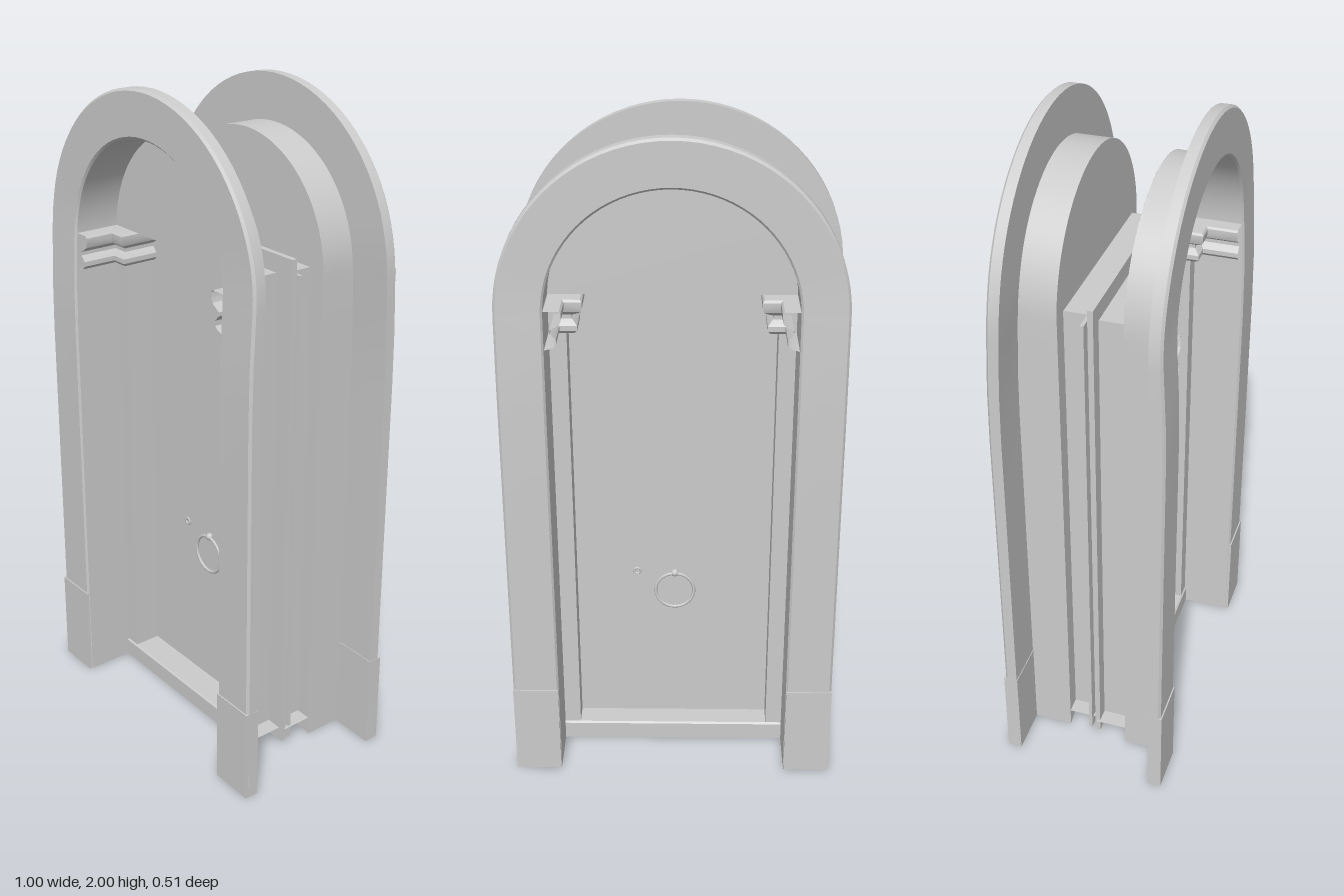
import * as THREE from 'three';
import { toCreasedNormals } from 'three/addons/utils/BufferGeometryUtils.js';

const stone = new THREE.MeshStandardMaterial({ color: 0xcccccc, side: THREE.DoubleSide });
const SPRING = 1.515, OUTER = 0.485, INNER = 0.35, STEP = 0.3, STEP_Z = 0.095;

function add(parent, name, geometry, x = 0, y = 0, z = 0) {
  const mesh = new THREE.Mesh(geometry, stone);
  mesh.name = name;
  mesh.position.set(x, y, z);
  parent.add(mesh);
  return mesh;
}

// Surface through rows of [x, y, z] points, creased at sharp edges
function sheet(rows) {
  const n = rows[0].length, index = [];
  for (let i = 0; i < rows.length - 1; i++) {
    for (let j = 0; j < n - 1; j++) {
      const a = i * n + j, b = a + n;
      index.push(a, b, a + 1, b, b + 1, a + 1);
    }
  }
  const g = new THREE.BufferGeometry();
  g.setAttribute('position', new THREE.Float32BufferAttribute(rows.flat(2), 3));
  g.setIndex(index);
  return toCreasedNormals(g, 0.6);
}

// Stations along the arch: up one leg, round the top, down the other leg
function archStations() {
  const legs = [0, 0.3, 0.6, 0.9, 1.2, 1.36].map((y) => ({ c: 1, s: 0, y }));
  const arc = [];
  for (let i = 0; i <= 40; i++) {
    const a = (Math.PI * i) / 40;
    arc.push({ c: Math.cos(a), s: Math.sin(a), y: SPRING });
  }
  const down = legs.map((p) => ({ ...p, c: -1 })).reverse();
  return [...legs, ...arc, ...down];
}

// The plate leans back slightly above the springing line
const frontZ = (y) => 0.252 - 0.014 * THREE.MathUtils.smoothstep(y, 1.25, 1.65);

function archFrame() {
  return sheet(archStations().map(({ c, s, y }) => {
    const flare = 0.006 * (1 - Math.min(1, y / SPRING));
    const at = (r, dz) => {
      const py = y + r * s;
      return [r * c, py, frontZ(py) + dz];
    };
    const o = OUTER + flare;
    const innerEdge = at(INNER, 0);
    return [
      at(INNER, -0.037), at(o, -0.037), at(o, -0.007), at(o - 0.007, 0),
      at(INNER + 0.006, 0), at(INNER, -0.006), [innerEdge[0], innerEdge[1], STEP_Z],
    ];
  }));
}

// Plan of the stepped jamb, pushed out by d into the opening
const jambPlan = (side, y, d = 0) => [
  [side * (INNER - d), y, 0.235],
  [side * (INNER - d), y, STEP_Z + d],
  [side * (STEP - d), y, STEP_Z + d],
  [side * (STEP - d), y, 0],
];

function createHalf() {
  const half = new THREE.Group();
  add(half, 'archFrame', archFrame());

  for (const side of [1, -1]) {
    const label = side > 0 ? 'left' : 'right';
    // Stepped jamb behind the reveal
    add(half, label + 'Jamb', sheet([0, 1.53].map((y) => jambPlan(side, y).slice(1).map(
      ([x, py, z], i) => [x, i > 0 && py === 0 ? 0.02 : py, z]))));

    // Moulded capital following the jamb plan
    const profile = [
      [1.415, 0], [1.422, 0.025], [1.432, 0.034], [1.446, 0.034], [1.457, 0.025],
      [1.463, 0.018], [1.474, 0.018], [1.482, 0.032], [1.492, 0.046],
      [1.505, 0.05], [1.522, 0.05], [1.528, 0.045], [1.528, 0],
    ];
    add(half, label + 'Capital', sheet(profile.map(([y, d]) => jambPlan(side, y, d))));

    // Plinth block at the foot of the frame
    add(half, label + 'Plinth', new THREE.BoxGeometry(0.139, 0.295, 0.043), side * 0.421, 0.1475, 0.2345);
  }

  // Half-round panel under the arch
  const lunette = new THREE.Shape();
  lunette.moveTo(INNER, 1.528);
  lunette.absarc(0, SPRING, INNER, 0.037, Math.PI - 0.037, false);
  lunette.lineTo(-INNER, 1.528);
  add(half, 'archPanel', new THREE.ShapeGeometry(lunette, 40), 0, 0, STEP_Z);

  // Lintel soffit and stepped threshold
  add(half, 'lintel', sheet([-STEP, STEP].map((x) => [[x, 1.528, STEP_Z], [x, 1.528, 0]])));
  add(half, 'threshold', sheet([-INNER, INNER].map((x) => [[x, 0, STEP_Z + 0.005], [x, 0.055, STEP_Z + 0.005], [x, 0.06, STEP_Z], [x, 0.06, 0]])));
  half.position.x = -0.009;
  return half;
}

function createHardware() {
  const hardware = new THREE.Group();
  // Ring handle on its staple
  add(hardware, 'ringHandle', new THREE.TorusGeometry(0.06, 0.005, 8, 40), -0.004, 0.527, 0.02);
  add(hardware, 'ringStaple', new THREE.SphereGeometry(0.012, 12, 8), -0.004, 0.588, 0.017);
  // Keyhole plate
  const keyhole = new THREE.Group();
  keyhole.name = 'keyhole';
  add(keyhole, 'keyholeRing', new THREE.TorusGeometry(0.01, 0.004, 6, 16), -0.121, 0.592, 0.013);
  add(keyhole, 'keyholeSlot', new THREE.BoxGeometry(0.009, 0.035, 0.008), -0.121, 0.567, 0.013);
  hardware.add(keyhole);
  return hardware;
}

export function createModel() {
  const model = new THREE.Group();
  model.name = 'archedDoorway';

  // Matching surround on each face
  for (const [name, turn] of [['front', 0], ['back', Math.PI]]) {
    const half = createHalf();
    half.name = name + 'Surround';
    half.rotation.y = turn;
    if (turn) half.position.x *= -1;
    model.add(half);

    const hardware = createHardware();
    hardware.name = name + 'Hardware';
    hardware.rotation.y = turn;
    if (turn) hardware.position.z = -0.017;
    model.add(hardware);
  }

  // Door made of two thin leaves back to back
  add(model, 'frontDoorLeaf', new THREE.BoxGeometry(0.704, 1.565, 0.016), 0, 0.7975, 0.002);
  add(model, 'backDoorLeaf', new THREE.BoxGeometry(0.704, 1.51, 0.01), 0, 0.775, -0.022);
  return model;
}
